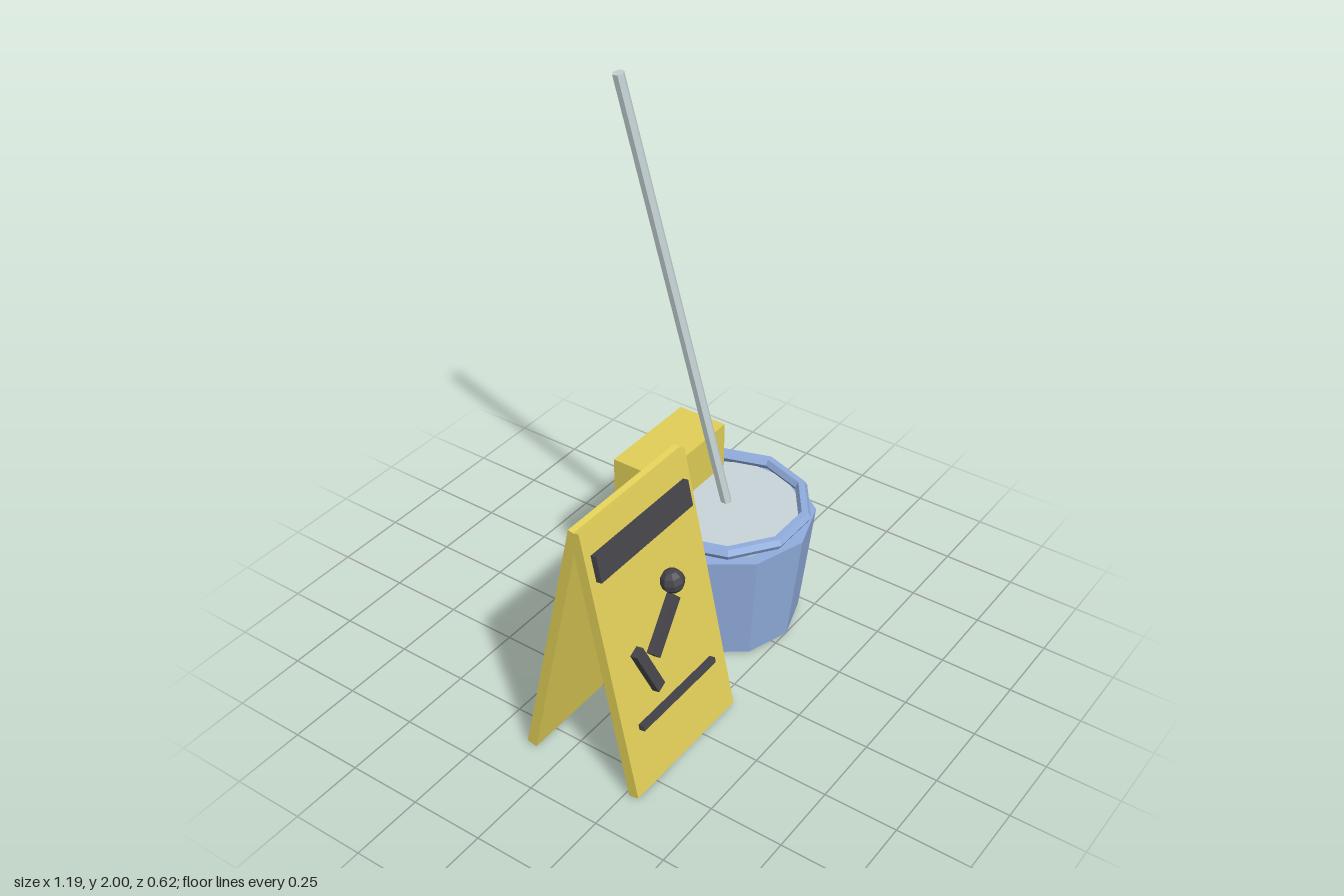
import * as THREE from 'three';

const mat = (name, color) => {
  const m = new THREE.MeshStandardMaterial({ color, flatShading: true });
  m.name = name;
  return m;
};

export function createModel() {
  const yellow = mat('yellow plastic', 0xe2d058);
  const blue = mat('blue plastic', 0x92aede);
  const water = mat('grey water', 0xcad6db);
  const metal = mat('pale metal', 0xc8d5d7);
  const dark = mat('dark symbol', 0x46454b);

  const model = new THREE.Group();
  model.name = 'mopBucketAndFloorSign';
  const add = (parent, name, geometry, material, x, y, z) => {
    const mesh = new THREE.Mesh(geometry, material);
    mesh.name = name;
    mesh.position.set(x, y, z);
    parent.add(mesh);
    return mesh;
  };
  const box = (w, h, d) => new THREE.BoxGeometry(w, h, d);

  // Folding sign: two boards leaning against each other
  const tilt = 0.21;
  const sign = new THREE.Group();
  sign.name = 'floorSign';
  model.add(sign);
  const board = (name, z, angle) => {
    const group = new THREE.Group();
    group.name = name;
    group.position.set(-0.34, 0.4675, z);
    group.rotation.x = angle;
    add(group, name + 'Panel', box(0.52, 0.948, 0.035), yellow, 0, 0, 0);
    sign.add(group);
    return group;
  };
  const front = board('frontBoard', 0.183, -tilt);
  board('backBoard', -0.018, tilt);

  // Slipping figure and bars on the front board
  add(front, 'headerBar', box(0.457, 0.09, 0.02), dark, -0.003, 0.341, 0.0275);
  add(front, 'groundBar', box(0.38, 0.019, 0.02), dark, 0, -0.253, 0.0275);
  add(front, 'figureHead', new THREE.SphereGeometry(0.04, 8, 6), dark, 0.06, 0.127, 0.043);
  add(front, 'figureTorso', box(0.042, 0.192, 0.025), dark, -0.004, 0.003, 0.03).rotation.z = -0.84;
  add(front, 'figureLeg', box(0.038, 0.18, 0.025), dark, -0.112, -0.088, 0.03).rotation.z = 0.36;

  // Bucket with a faceted rim and water standing above the body
  const bucket = new THREE.Group();
  bucket.name = 'bucket';
  bucket.position.x = 0.3;
  model.add(bucket);
  add(bucket, 'bucketBody', new THREE.CylinderGeometry(0.305, 0.26, 0.408, 10), blue, 0, 0.219, 0);
  add(bucket, 'waterSurface', new THREE.CylinderGeometry(0.262, 0.262, 0.03, 10), water, 0, 0.425, 0);
  add(bucket, 'bucketRim', new THREE.TorusGeometry(0.273, 0.022, 6, 10), blue, 0, 0.456, 0)
    .rotation.x = Math.PI / 2;
  add(bucket, 'wringer', box(0.38, 0.184, 0.182), yellow, 0, 0.517, -0.223);

  // Mop handle leaning back over the bucket
  const foot = new THREE.Vector3(0.33, 0.41, -0.007);
  const tip = new THREE.Vector3(0.087, 1.997, -0.252);
  const dir = tip.clone().sub(foot);
  const mid = foot.clone().add(tip).multiplyScalar(0.5);
  add(model, 'mopHandle', new THREE.CylinderGeometry(0.019, 0.019, dir.length(), 6), metal, mid.x, mid.y, mid.z)
    .quaternion.setFromUnitVectors(new THREE.Vector3(0, 1, 0), dir.normalize());

  return model;
}
